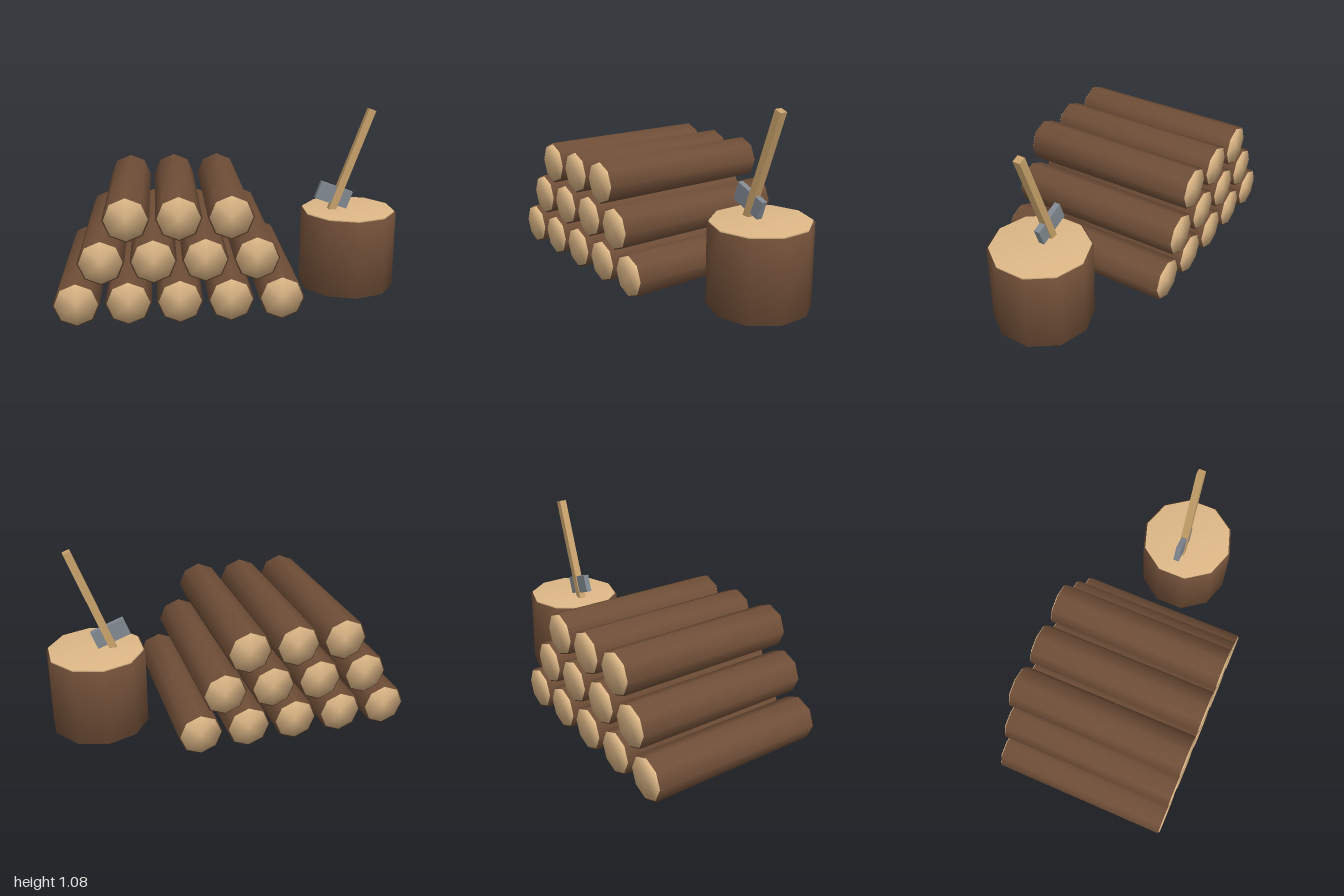
import * as THREE from 'three';
import { mergeVertices } from 'three/addons/utils/BufferGeometryUtils.js';

const material = (color) => new THREE.MeshStandardMaterial({ color });
const bark = material(0x6f4e37);
const cutWood = material(0xdeb887);
const handleWood = material(0xc8a26b);
const steel = material(0x808890);

// Closed prism whose normals are shared across the rim, for soft shading
function softCylinder(radius, height, sides) {
  const geo = new THREE.CylinderGeometry(radius, radius, height, sides);
  geo.deleteAttribute('normal');
  geo.deleteAttribute('uv');
  const merged = mergeVertices(geo);
  merged.computeVertexNormals();
  return merged;
}

function part(name, geometry, mat, x = 0, y = 0, z = 0) {
  const mesh = new THREE.Mesh(geometry, mat);
  mesh.name = name;
  mesh.position.set(x, y, z);
  return mesh;
}

export function createModel() {
  const model = new THREE.Group();
  model.name = 'woodpileAndChoppingBlock';

  // Stacked logs: bark with a pale core showing at both ends
  const logBark = softCylinder(0.125, 1.046, 8).rotateX(Math.PI / 2);
  const logCore = softCylinder(0.117, 1.058, 8).rotateX(Math.PI / 2);
  const spacing = 0.279;
  const pile = new THREE.Group();
  pile.name = 'logPile';
  for (let row = 0; row < 3; row++) {
    for (let i = 0; i < 5 - row; i++) {
      const log = new THREE.Group();
      log.name = 'log';
      log.add(part('logBark', logBark, bark), part('logCore', logCore, cutWood));
      log.position.set(-0.875 + spacing * (i + row / 2), 0.127 + 0.234 * row, 0);
      pile.add(log);
    }
  }
  model.add(pile);

  // Chopping block with a thin cut face on top
  const block = new THREE.Group();
  block.name = 'choppingBlock';
  block.position.x = 0.722;
  block.add(
    part('blockBark', softCylinder(0.287, 0.465, 10), bark, 0, 0.2325, 0),
    part('blockTop', softCylinder(0.277, 0.02, 10), cutWood, 0, 0.465, 0),
  );
  model.add(block);

  // Axe leaning in the block, built upright around the head and then tilted
  const axe = new THREE.Group();
  axe.name = 'axe';
  axe.add(
    part('axeHandle', new THREE.BoxGeometry(0.044, 0.66, 0.044), handleWood, 0.022, 0.225, 0),
    part('axeHead', new THREE.BoxGeometry(0.205, 0.108, 0.034), steel),
  );
  axe.position.set(0.631, 0.562, 0);
  axe.rotation.z = -0.351;
  model.add(axe);

  return model;
}
